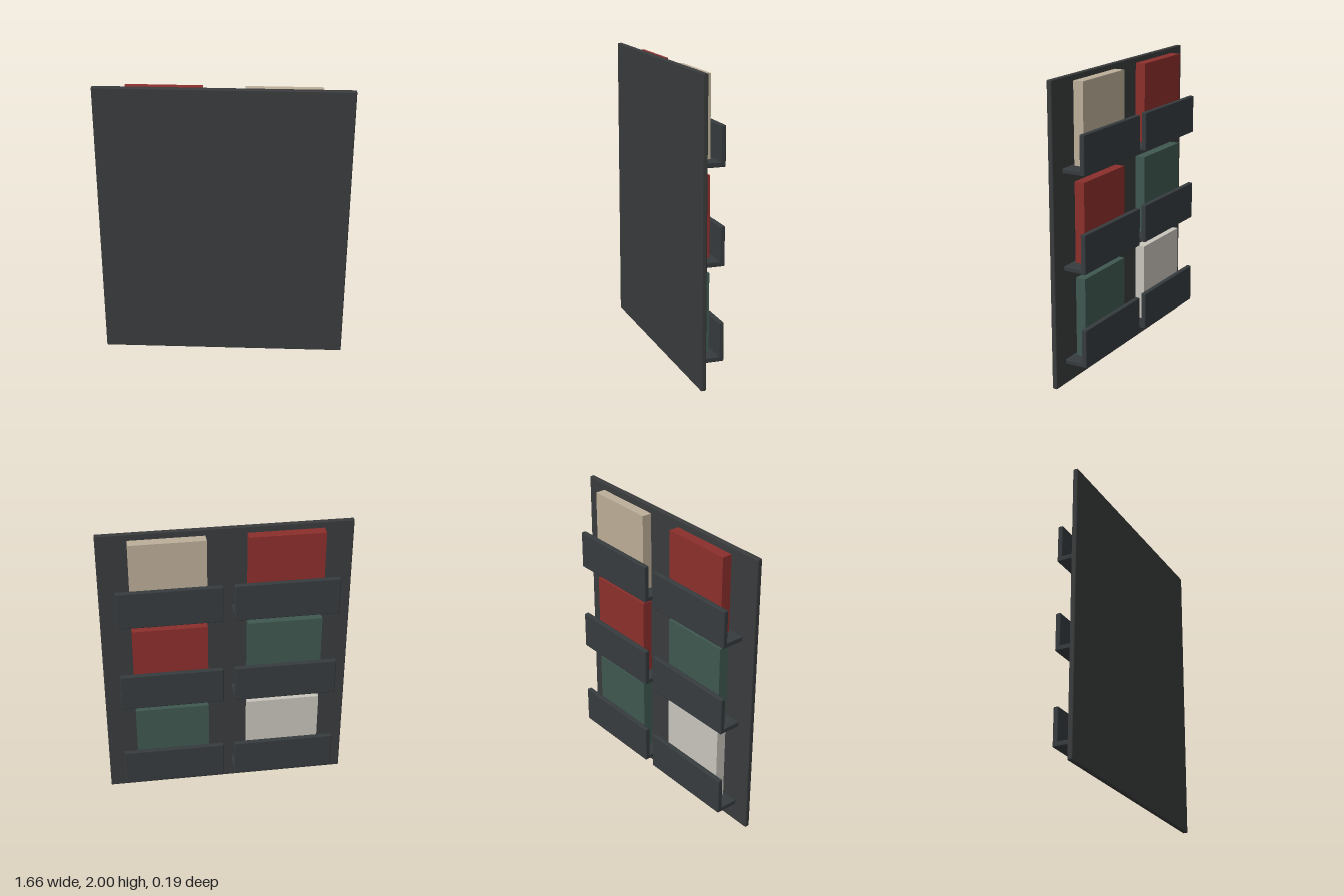
import * as THREE from 'three';
import { RoundedBoxGeometry } from 'three/addons/geometries/RoundedBoxGeometry.js';

const RED = 0x8c2f2c, BEIGE = 0xbcae98, GREEN = 0x3f5850, WHITE = 0xc8c4bc;

// Box given by its min and max corners; radius > 0 softens the edges
function box(name, min, max, color, radius = 0) {
  const size = max.map((v, i) => v - min[i]);
  const geometry = radius
    ? new RoundedBoxGeometry(...size, 2, radius)
    : new THREE.BoxGeometry(...size);
  const mesh = new THREE.Mesh(geometry, new THREE.MeshStandardMaterial({ color }));
  mesh.name = name;
  mesh.position.set(...max.map((v, i) => (v + min[i]) / 2));
  return mesh;
}

export function createModel() {
  const model = new THREE.Group();
  model.name = 'brochureRack';

  // Large upright panel
  model.add(box('panel', [-0.83, 0, 0.063], [0.83, 2, 0.097], 0x3a3b3c, 0.007));

  // Pockets in two columns and three rows, listed from the bottom: right, left
  const rows = [[WHITE, GREEN], [GREEN, RED], [RED, BEIGE]];
  rows.forEach((colors, row) => colors.forEach((color, column) => {
    const pocket = new THREE.Group();
    pocket.name = 'pocket';
    pocket.position.set(column ? 0.382 : -0.382, 0.14 + row * 0.633, 0);
    pocket.add(
      box('shelf', [-0.345, 0, -0.097], [0.345, 0.034, 0.063], 0x363b3e, 0.007),
      box('lip', [-0.345, 0, -0.097], [0.345, 0.26, -0.063], 0x363b3e, 0.007),
      box('booklet', [-0.248, 0.034, -0.033], [0.248, 0.565, 0.036], color)
    );
    model.add(pocket);
  }));

  return model;
}
